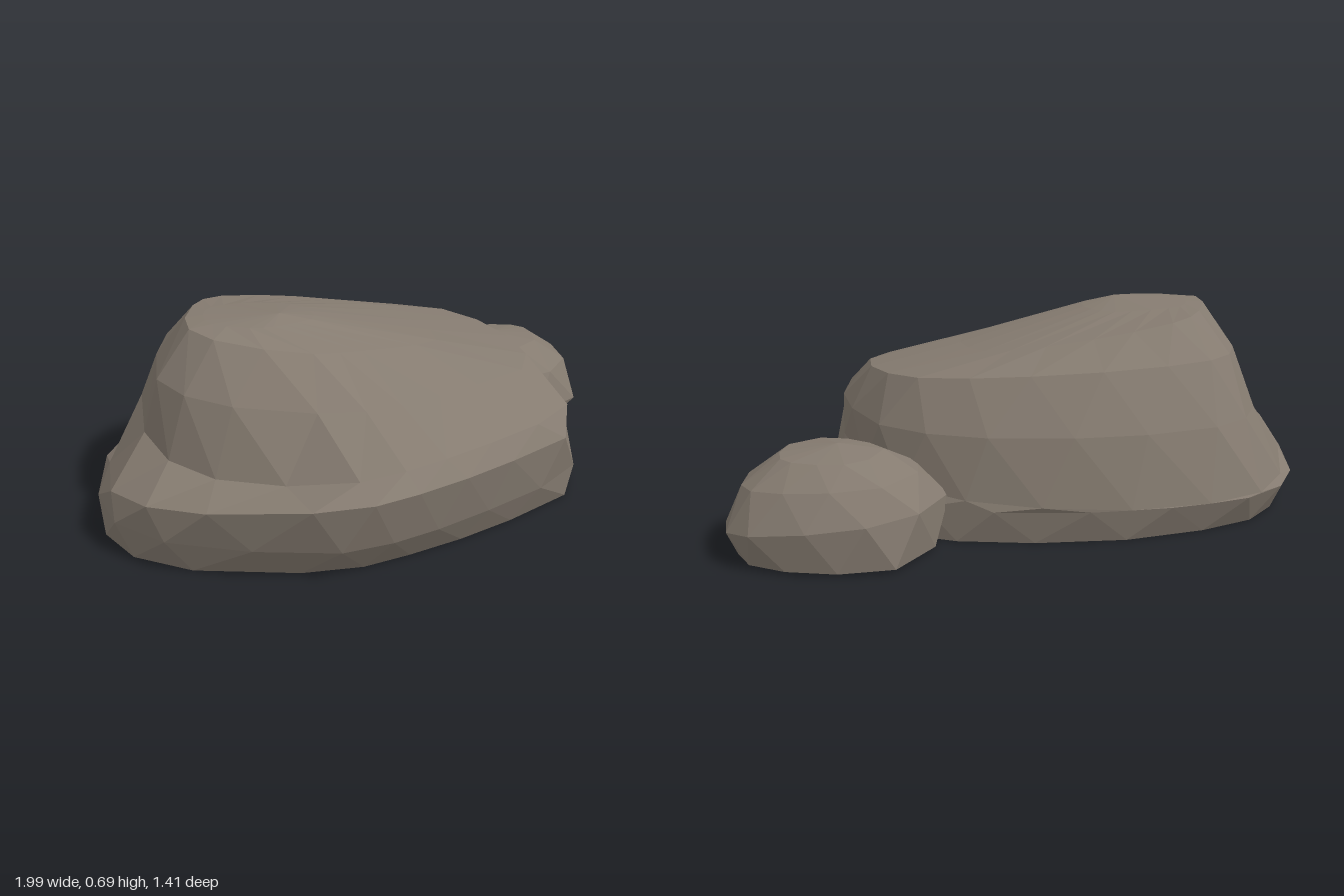
import * as THREE from 'three';

// Faceted boulder: one ground-plan outline (offsets [x, z], going from +x towards +z)
// is scaled, shifted and tilted for each ring, then closed by a peak and a flat underside.
// Lobes [angle, swell, lift] push a ring out or in, and up or down, around one direction.
function boulder(name, outline, rings, peak, sides, material) {
  const plan = new THREE.CatmullRomCurve3(outline.map(([x, z]) => new THREE.Vector3(x, 0, z)), true, 'catmullrom', 0.4);
  const loops = rings.map(({ centre, scale, y, tilt = [0, 0], lobes = [] }, r) => {
    const shift = (r % 2) * 0.5; // stagger rings so the facets interlock
    return Array.from({ length: sides }, (_, i) => {
      const p = plan.getPoint(((i + shift) / sides) % 1);
      const angle = Math.atan2(p.z, p.x);
      let k = 1, rise = 0;
      for (const [direction, swell, lift] of lobes) {
        const weight = Math.max(0, Math.cos(angle - direction)) ** 4;
        k += swell * weight;
        rise += lift * weight;
      }
      const dx = p.x * scale[0] * k, dz = p.z * scale[1] * k;
      return new THREE.Vector3(centre[0] + dx, y + rise + tilt[0] * dx + tilt[1] * dz, centre[1] + dz);
    });
  });
  const tip = new THREE.Vector3(...peak);
  const foot = new THREE.Vector3(rings[0].centre[0], rings[0].y, rings[0].centre[1]);
  const last = loops[loops.length - 1];
  const points = [];
  for (let i = 0; i < sides; i++) {
    const j = (i + 1) % sides;
    for (let r = 0; r < loops.length - 1; r++) {
      const a = loops[r], b = loops[r + 1];
      if (r % 2 === 0) points.push(a[i], b[i], a[j], a[j], b[i], b[j]);
      else points.push(a[i], b[j], a[j], a[i], b[i], b[j]);
    }
    points.push(last[i], tip, last[j]); // crown
    points.push(loops[0][i], loops[0][j], foot); // underside
  }
  const geometry = new THREE.BufferGeometry().setFromPoints(points);
  geometry.computeVertexNormals();
  const mesh = new THREE.Mesh(geometry, material);
  mesh.name = name;
  return mesh;
}

export function createModel() {
  const group = new THREE.Group();
  group.name = 'rocks';
  const stone = new THREE.MeshStandardMaterial({ color: 0x857b70 });
  stone.name = 'stone';

  // Large rock: undercut front, low ledge under a steep corner, top sloping down to +x
  const largeOutline = [
    [0.83, 0], [0.78, 0.36], [0.4, 0.53], [0.08, 0.62], [-0.2, 0.63], [-0.65, 0.4],
    [-0.83, 0.1], [-0.74, -0.35], [-0.54, -0.56], [-0.1, -0.63], [0.38, -0.56], [0.7, -0.37],
  ];
  group.add(boulder('largeRock', largeOutline, [
    { centre: [-0.17, 0.01], scale: [0.99, 0.88], y: 0, lobes: [[2.5, 0.04, 0], [-2.6, -0.06, 0], [0.8, 0.04, 0]] },
    { centre: [-0.18, 0.04], scale: [0.99, 0.97], y: 0.11 },
    { centre: [-0.18, 0.06], scale: [0.95, 1.01], y: 0.2, tilt: [0.03, 0.13] },
    { centre: [-0.13, 0.05], scale: [0.88, 0.92], y: 0.345, lobes: [[2.5, -0.1, -0.07]] },
    { centre: [-0.13, 0], scale: [0.77, 0.69], y: 0.5, tilt: [-0.035, -0.07], lobes: [[2.5, 0.03, 0]] },
    { centre: [-0.22, -0.03], scale: [0.5, 0.45], y: 0.61, tilt: [-0.15, -0.02], lobes: [[2.5, 0.15, 0]] },
    { centre: [-0.42, 0], scale: [0.22, 0.22], y: 0.672, tilt: [-0.05, 0.02] },
  ], [-0.36, 0.69, 0.06], 20, stone));

  // Small rock resting against the back corner
  const smallOutline = [
    [0.35, -0.06], [0.3, 0.17], [0.02, 0.3], [-0.22, 0.17],
    [-0.36, -0.01], [-0.19, -0.27], [0.06, -0.28], [0.28, -0.19],
  ];
  group.add(boulder('smallRock', smallOutline, [
    { centre: [0.64, -0.42], scale: [0.91, 0.93], y: 0.01 },
    { centre: [0.65, -0.41], scale: [1, 1], y: 0.12, tilt: [-0.09, -0.1] },
    { centre: [0.655, -0.4], scale: [0.81, 0.82], y: 0.235, tilt: [-0.04, -0.06] },
    { centre: [0.66, -0.41], scale: [0.46, 0.5], y: 0.31 },
  ], [0.64, 0.335, -0.41], 11, stone));
  return group;
}
